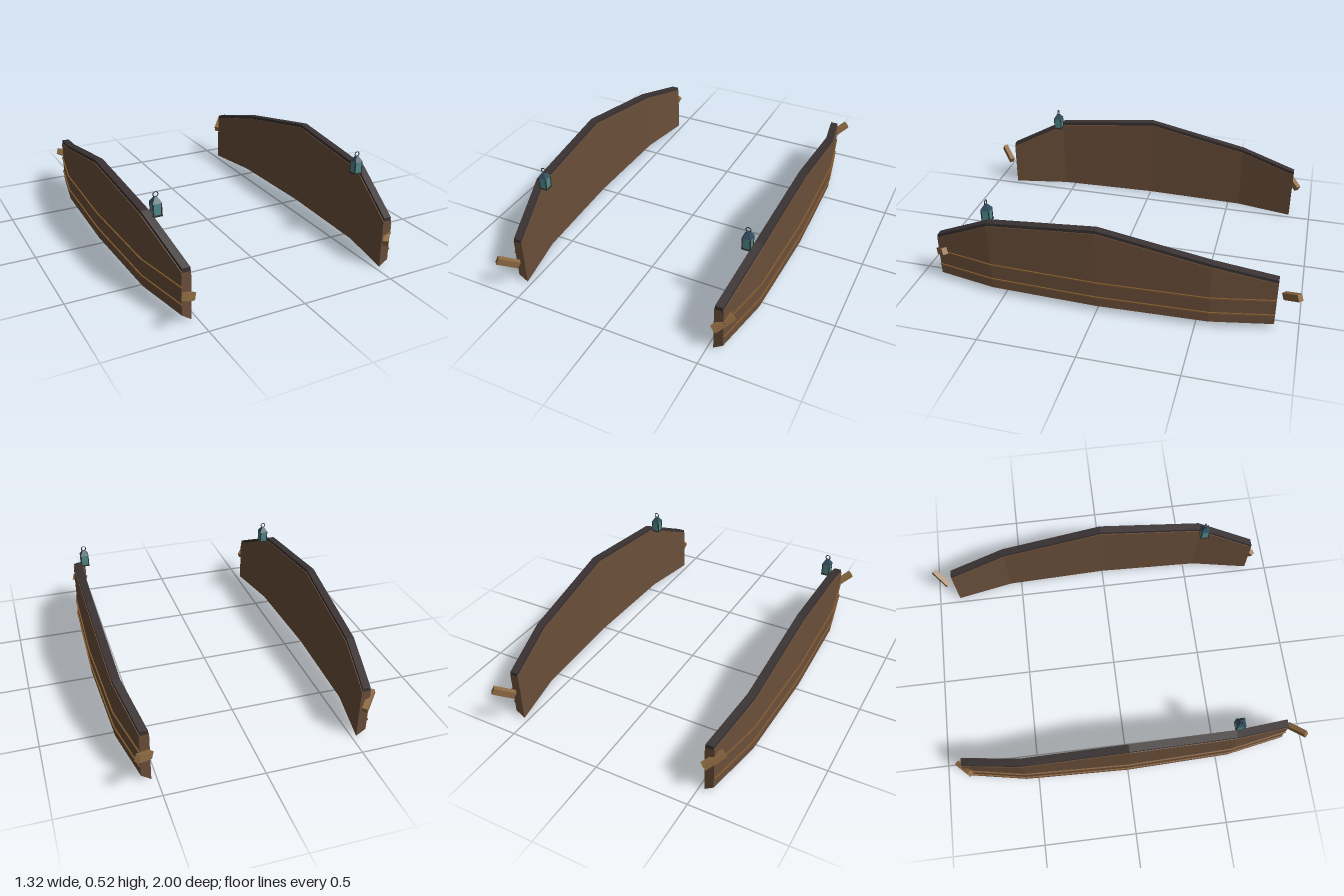
import * as THREE from 'three';

const mat = (name, color, side = THREE.FrontSide) => {
  const m = new THREE.MeshStandardMaterial({ color, side });
  m.name = name;
  return m;
};

// Stations along the wall: z, centre x, height of the wall top
const STATIONS = [
  [0.88, 0.55, 0.253],
  [0.566, 0.609, 0.408],
  [0, 0.627, 0.463],
  [-0.566, 0.609, 0.354],
  [-0.88, 0.55, 0.274],
];
const HALF = 0.024; // half of the wall thickness

// Flat-shaded solid through cross-sections; loops run counter-clockwise seen from +z, sections go toward -z
function loft(sections) {
  const pos = [];
  const tri = (...pts) => pts.forEach((p) => pos.push(...p));
  const n = sections[0].length;
  for (let i = 0; i < sections.length - 1; i++) {
    for (let j = 0; j < n; j++) {
      const k = (j + 1) % n;
      const a = sections[i][j], b = sections[i][k];
      const c = sections[i + 1][k], d = sections[i + 1][j];
      tri(a, d, c);
      tri(a, c, b);
    }
  }
  const first = sections[0], last = sections[sections.length - 1];
  for (let j = 1; j < n - 1; j++) {
    tri(first[0], first[j], first[j + 1]);
    tri(last[0], last[j + 1], last[j]);
  }
  const g = new THREE.BufferGeometry();
  g.setAttribute('position', new THREE.Float32BufferAttribute(pos, 3));
  g.computeVertexNormals();
  return g;
}

// Bent strip along the stations; profile(x, top) gives the corners for the +x side
function strip(side, profile) {
  return loft(STATIONS.map(([z, x, top]) => {
    const loop = profile(x, top).map(([px, py]) => [px * side, py, z]);
    return side > 0 ? loop : loop.reverse();
  }));
}

function add(parent, name, geometry, material, x = 0, y = 0, z = 0) {
  const m = new THREE.Mesh(geometry, material);
  m.name = name;
  m.position.set(x, y, z);
  parent.add(m);
  return m;
}

export function createModel() {
  const wood = mat('dark wood', 0x6b4f3a);
  const railWood = mat('blackened rail', 0x3a3232);
  const pegWood = mat('light wood', 0x8f6b42);
  const ropeMat = mat('rope brown', 0x80592f);
  const glass = mat('teal glass', 0x4f8a8c);
  const metal = mat('blue metal', 0x2f4b5a);
  const iron = mat('dark iron', 0x33342f);

  const model = new THREE.Group();
  model.name = 'curvedSideWalls';

  for (const side of [1, -1]) {
    const wall = new THREE.Group();
    wall.name = side > 0 ? 'leftWall' : 'rightWall';
    model.add(wall);

    // Planked wall with a sloping underside
    add(wall, 'wallPanel', strip(side, (x, top) => [
      [x - HALF, 0], [x + HALF, 0.033], [x + HALF, top], [x - HALF, top],
    ]), wood);

    // Top rail
    add(wall, 'topRail', strip(side, (x, top) => [
      [x - 0.02, top - 0.004], [x + 0.02, top - 0.004], [x + 0.02, top + 0.017], [x - 0.02, top + 0.017],
    ]), railWood);

    // Two thin bands along the outer face
    for (const y of [0.09, 0.178]) {
      add(wall, 'outerBand', strip(side, (x) => [
        [x + HALF - 0.004, y - 0.003], [x + HALF + 0.007, y - 0.003],
        [x + HALF + 0.007, y + 0.003], [x + HALF - 0.004, y + 0.003],
      ]), ropeMat);
    }

    // Lantern beside the rail
    const lantern = new THREE.Group();
    lantern.name = 'lantern';
    lantern.position.set(side * 0.563, 0.4, 0.588);
    wall.add(lantern);
    add(lantern, 'lanternBase', new THREE.BoxGeometry(0.048, 0.008, 0.048), iron, 0, 0.004, 0);
    add(lantern, 'lanternGlass', new THREE.BoxGeometry(0.04, 0.058, 0.04), glass, 0, 0.037, 0);
    for (const px of [-1, 1]) {
      for (const pz of [-1, 1]) {
        add(lantern, 'lanternPost', new THREE.BoxGeometry(0.005, 0.058, 0.005), iron,
          px * 0.02, 0.037, pz * 0.02);
      }
    }
    const roof = new THREE.CylinderGeometry(0.009, 0.034, 0.028, 4, 1).rotateY(Math.PI / 4).toNonIndexed();
    roof.computeVertexNormals();
    add(lantern, 'lanternRoof', roof, metal, 0, 0.08, 0);
    add(lantern, 'lanternRing', new THREE.TorusGeometry(0.0125, 0.0025, 6, 16), iron, 0, 0.105, 0);
  }

  // Slanted pegs at the wall ends; the outer end of each is raised
  const pegs = [
    [0.568, 0.169, 0.867, 1],
    [-0.571, 0.169, 0.948, -1],
    [0.568, 0.21, -0.95, 1],
    [-0.571, 0.21, -0.877, -1],
  ];
  for (const [x, y, z, side] of pegs) {
    const peg = add(model, 'endPeg', new THREE.BoxGeometry(0.115, 0.036, 0.027), pegWood, x, y, z);
    peg.rotation.set(0, Math.PI / 4, side * 0.49, 'YXZ');
  }

  return model;
}
